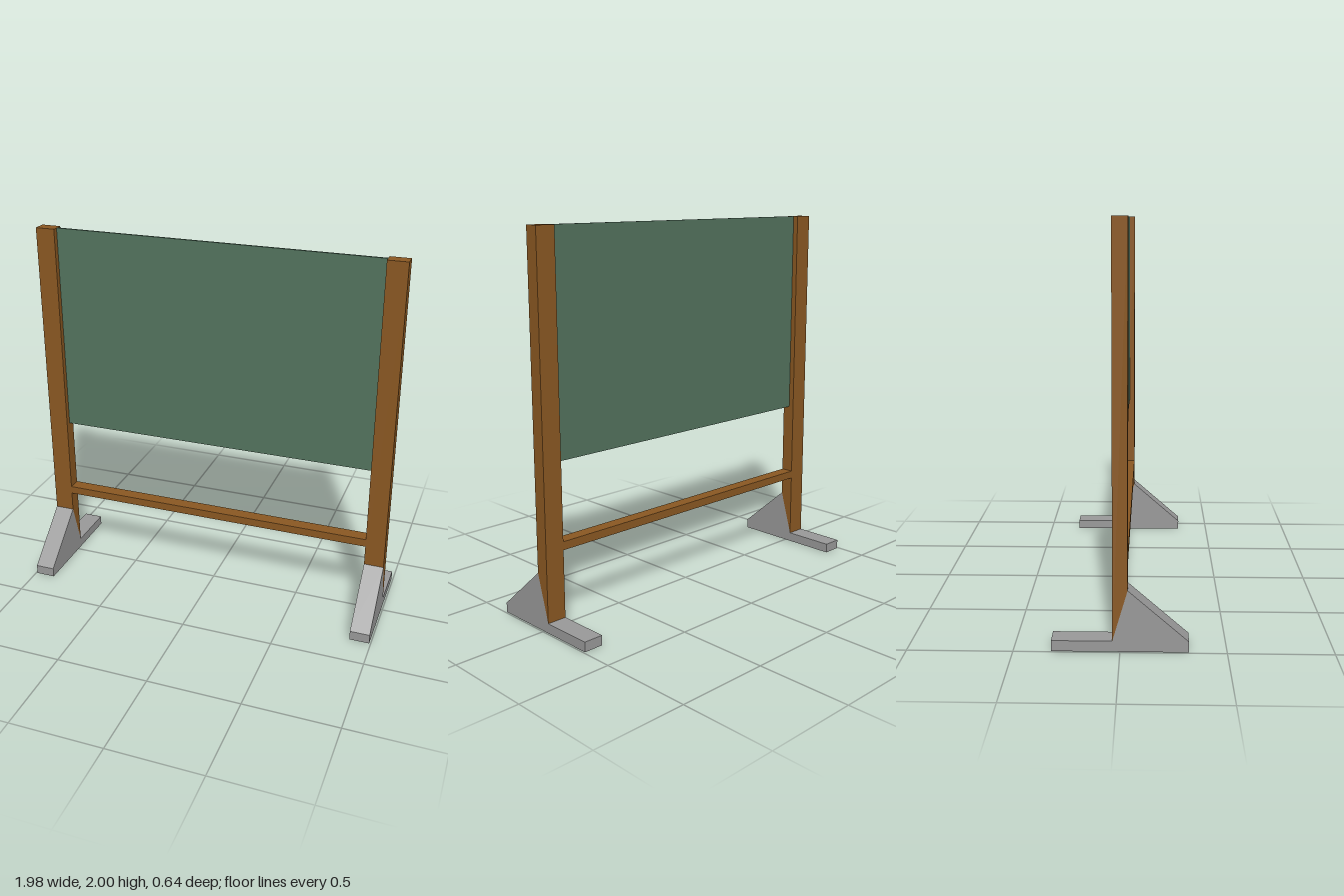
import * as THREE from 'three';

const wood = new THREE.MeshStandardMaterial({ color: 0x8a5822, name: 'brown wood' });
const green = new THREE.MeshStandardMaterial({ color: 0x53735e, name: 'board green' });
const grey = new THREE.MeshStandardMaterial({ color: 0x999999, name: 'foot grey' });

const OUTER = 0.992, INNER = 0.885, HALF_DEPTH = 0.036;
const FOOT_TOP = 0.052, WEDGE_TOP = 0.3, FOOT_HALF = 0.322;

// Extrudes a side profile of [z, y] points across x, centred on x = 0
function sideProfile(points, width) {
  const shape = new THREE.Shape(points.map(([z, y]) => new THREE.Vector2(z, y)));
  return new THREE.ExtrudeGeometry(shape, { depth: width, bevelEnabled: false })
    .rotateY(-Math.PI / 2)
    .translate(width / 2, 0, 0);
}

export function createModel() {
  const model = new THREE.Group();
  model.name = 'standingBoard';
  const add = (name, geometry, material, x, y) => {
    const mesh = new THREE.Mesh(geometry, material);
    mesh.name = name;
    mesh.position.set(x, y, 0);
    model.add(mesh);
  };

  const width = OUTER - INNER;
  // Upright, cut on a slant where it meets the foot
  const post = sideProfile([
    [-HALF_DEPTH, FOOT_TOP], [HALF_DEPTH, WEDGE_TOP], [HALF_DEPTH, 2], [-HALF_DEPTH, 2],
  ], width);
  // Foot with a front wedge and a flat rear toe
  const foot = sideProfile([
    [-FOOT_HALF, 0], [FOOT_HALF, 0], [FOOT_HALF, FOOT_TOP],
    [HALF_DEPTH, WEDGE_TOP], [-HALF_DEPTH, FOOT_TOP], [-FOOT_HALF, FOOT_TOP],
  ], width);

  for (const [side, sign] of [['left', 1], ['right', -1]]) {
    const x = sign * (OUTER + INNER) / 2;
    add(side + 'Post', post, wood, x, 0);
    add(side + 'Foot', foot, grey, x, 0);
  }

  // Writing panel and lower cross rail between the posts
  add('boardPanel', new THREE.BoxGeometry(INNER * 2, 1.142, 0.012), green, 0, 1.429);
  add('crossRail', new THREE.BoxGeometry(INNER * 2, 0.044, HALF_DEPTH * 2), wood, 0, 0.432);

  return model;
}
